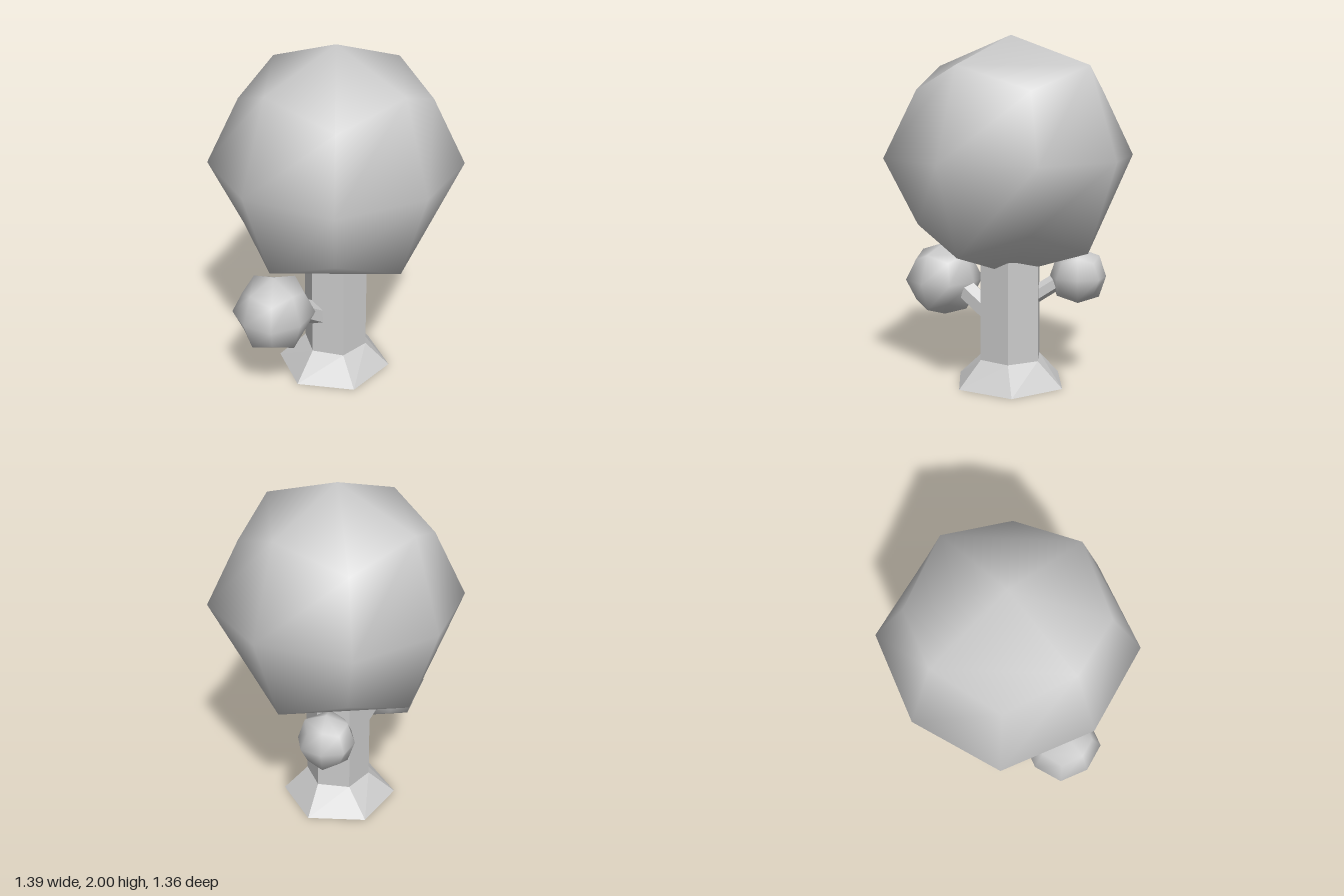
import * as THREE from 'three';
import { mergeVertices } from 'three/addons/utils/BufferGeometryUtils.js';

const smooth = new THREE.MeshStandardMaterial({ color: 0xcccccc });
const flat = new THREE.MeshStandardMaterial({ color: 0xcccccc, flatShading: true });

function add(parent, name, geometry, material) {
  const mesh = new THREE.Mesh(geometry, material);
  mesh.name = name;
  parent.add(mesh);
  return mesh;
}

// Cube with 2 segments per side, rounded: face centres, edge middles and corners each get their own reach
function leafBall(size) {
  const reach = [0, 0.68, 0.51, 0.377];
  let geo = new THREE.BoxGeometry(2, 2, 2, 2, 2, 2);
  geo.deleteAttribute('uv');
  geo.deleteAttribute('normal');
  geo = mergeVertices(geo);
  const p = geo.attributes.position;
  const v = new THREE.Vector3();
  for (let i = 0; i < p.count; i++) {
    v.fromBufferAttribute(p, i);
    const k = Math.round(Math.abs(v.x) + Math.abs(v.y) + Math.abs(v.z));
    v.multiplyScalar(reach[k] * size);
    p.setXYZ(i, v.x, v.y, v.z);
  }
  geo.computeVertexNormals();
  return geo;
}

// Six-sided trunk whose lowest ring is flared and slightly twisted
function trunkGeometry() {
  const geo = new THREE.CylinderGeometry(0.19, 0.19, 0.9, 6, 6);
  geo.rotateY(Math.PI / 2).translate(0, 0.45, 0);
  const p = geo.attributes.position;
  const v = new THREE.Vector3();
  const up = new THREE.Vector3(0, 1, 0);
  for (let i = 0; i < p.count; i++) {
    v.fromBufferAttribute(p, i);
    if (v.y > 0.01) p.setX(i, v.x + 0.01);
    else {
      v.applyAxisAngle(up, THREE.MathUtils.degToRad(6)).multiplyScalar(0.34 / 0.19);
      p.setXYZ(i, v.x + 0.003, 0, v.z - 0.005);
    }
  }
  return geo;
}

// Six-sided branch along -x, sheared upward so both ends stay vertical
function branchGeometry() {
  const geo = new THREE.CylinderGeometry(0.08, 0.08, 0.2, 6);
  geo.rotateZ(Math.PI / 2).rotateY(0).scale(1, 1, 0.8).translate(-0.245, 0, 0);
  // turn the section so a point faces up
  const p = geo.attributes.position;
  let top = 0;
  for (let i = 0; i < p.count; i++) top = Math.max(top, p.getY(i));
  for (let i = 0; i < p.count; i++) {
    let y = p.getY(i), z = p.getZ(i) / 0.8;
    if (top < 0.075) {
      const a = Math.PI / 6;
      [y, z] = [y * Math.cos(a) - z * Math.sin(a), y * Math.sin(a) + z * Math.cos(a)];
    }
    p.setY(i, y + 0.4 - 0.65 * (p.getX(i) + 0.145));
    p.setZ(i, z * 0.8);
  }
  return geo;
}

// Branch with its ball of leaves
function limb(name) {
  const group = new THREE.Group();
  group.name = name;
  add(group, 'branch', branchGeometry(), flat);
  add(group, 'branchLeaves', leafBall(0.324), smooth).position.set(-0.475, 0.555, 0);
  return group;
}

export function createModel() {
  const tree = new THREE.Group();
  tree.name = 'tree';
  add(tree, 'trunk', trunkGeometry(), flat);
  add(tree, 'crown', leafBall(1), smooth).position.set(0.013, 1.32, 0);

  const rightLimb = limb('rightLimb');
  tree.add(rightLimb);

  // smaller, higher limb towards the back left
  const leftLimb = limb('leftLimb');
  leftLimb.scale.setScalar(0.73);
  leftLimb.rotation.y = THREE.MathUtils.degToRad(209);
  leftLimb.position.set(0.045, 0.23, -0.025);
  tree.add(leftLimb);
  return tree;
}
